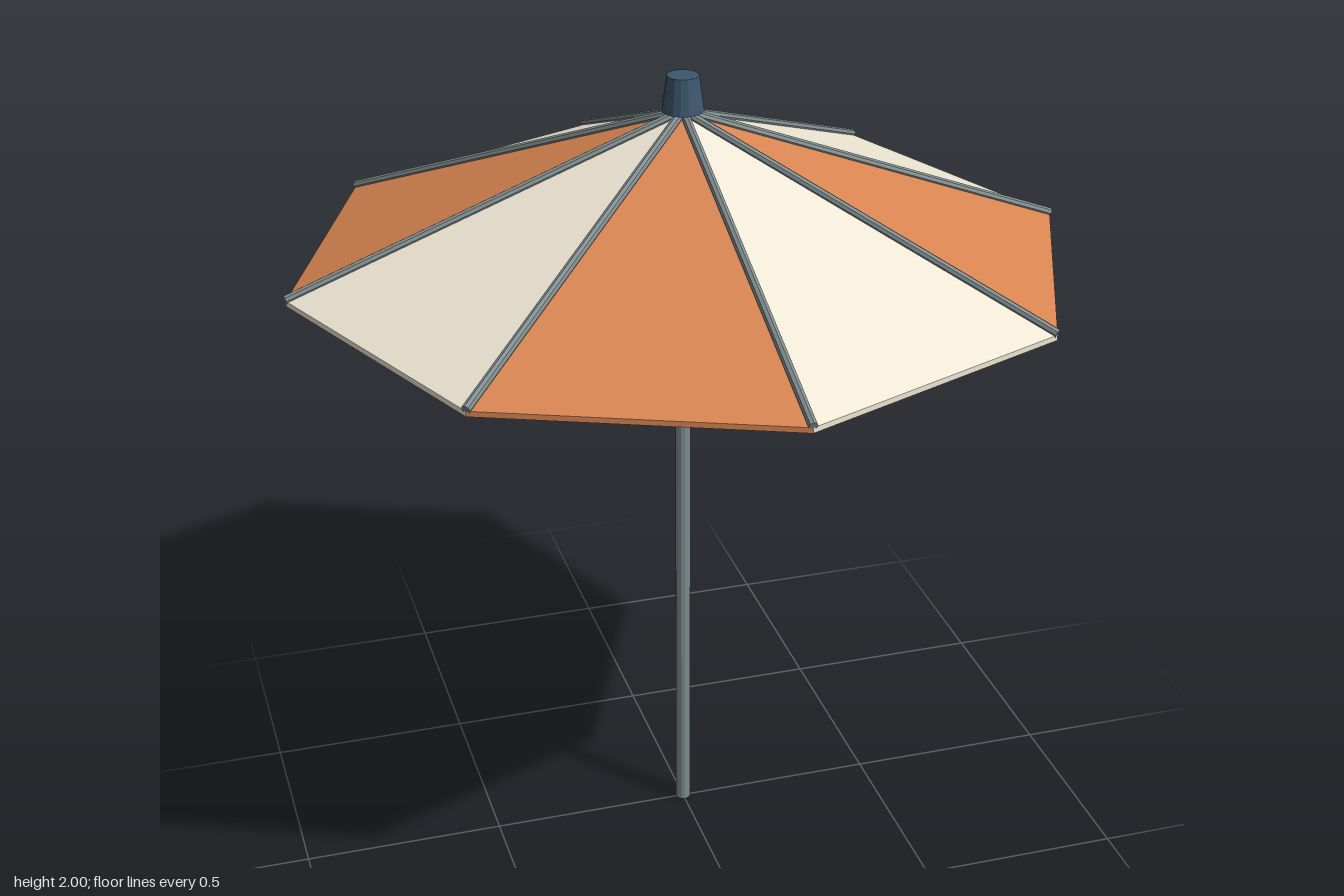
import * as THREE from 'three';

const SIDES = 8, RADIUS = 0.943;
const RIM_TOP = 1.553, RIM_BOTTOM = 1.54, APEX_TOP = 1.91, APEX_BOTTOM = 1.895;

const paint = (color) => new THREE.MeshStandardMaterial({ color, flatShading: true });

function add(group, name, geometry, material) {
  const mesh = new THREE.Mesh(geometry, material);
  mesh.name = name;
  group.add(mesh);
  return mesh;
}

// Corner i of the canopy rim; corner 0 lies on +x and i grows towards +z
function corner(i, y, r = RADIUS) {
  const a = (i / SIDES) * Math.PI * 2;
  return new THREE.Vector3(Math.cos(a) * r, y, Math.sin(a) * r);
}

// One cloth wedge: sloped top, sloped underside and a thin rim edge
function panelGeometry(i) {
  const top = new THREE.Vector3(0, APEX_TOP, 0), under = new THREE.Vector3(0, APEX_BOTTOM, 0);
  const a = corner(i, RIM_TOP), b = corner(i + 1, RIM_TOP);
  const c = corner(i, RIM_BOTTOM), d = corner(i + 1, RIM_BOTTOM);
  const geometry = new THREE.BufferGeometry().setFromPoints([
    top, b, a,
    under, c, d,
    a, b, d, a, d, c,
  ]);
  geometry.computeVertexNormals();
  return geometry;
}

export function createModel() {
  const group = new THREE.Group();
  const orange = paint(0xd98552), cream = paint(0xf0e8d6);
  const metal = paint(0x7f8c8d), navy = paint(0x3d566e);

  // Pole, ending just below the canopy's peak
  const poleHeight = 1.83;
  add(group, 'pole', new THREE.CylinderGeometry(0.019, 0.019, poleHeight, 12), metal)
    .position.y = poleHeight / 2;

  // Canopy of alternating wedges, with a rib along every seam
  const canopy = new THREE.Group();
  canopy.name = 'canopy';
  const ribs = new THREE.Group();
  ribs.name = 'ribs';
  group.add(canopy, ribs);
  for (let i = 0; i < SIDES; i++) {
    add(canopy, 'canopyPanel', panelGeometry(i), i % 2 ? cream : orange);

    const start = new THREE.Vector3(0, APEX_TOP + 0.003, 0);
    const end = corner(i, RIM_TOP + 0.003);
    const along = end.clone().sub(start);
    const rib = add(ribs, 'rib', new THREE.CylinderGeometry(0.011, 0.011, along.length(), 8), metal);
    rib.position.copy(start).add(end).multiplyScalar(0.5);
    rib.quaternion.setFromUnitVectors(new THREE.Vector3(0, 1, 0), along.normalize());
  }

  // Tapered cap on the peak
  add(group, 'cap', new THREE.CylinderGeometry(0.038, 0.05, 0.085, 16), navy)
    .position.y = 1.9575;

  return group;
}
